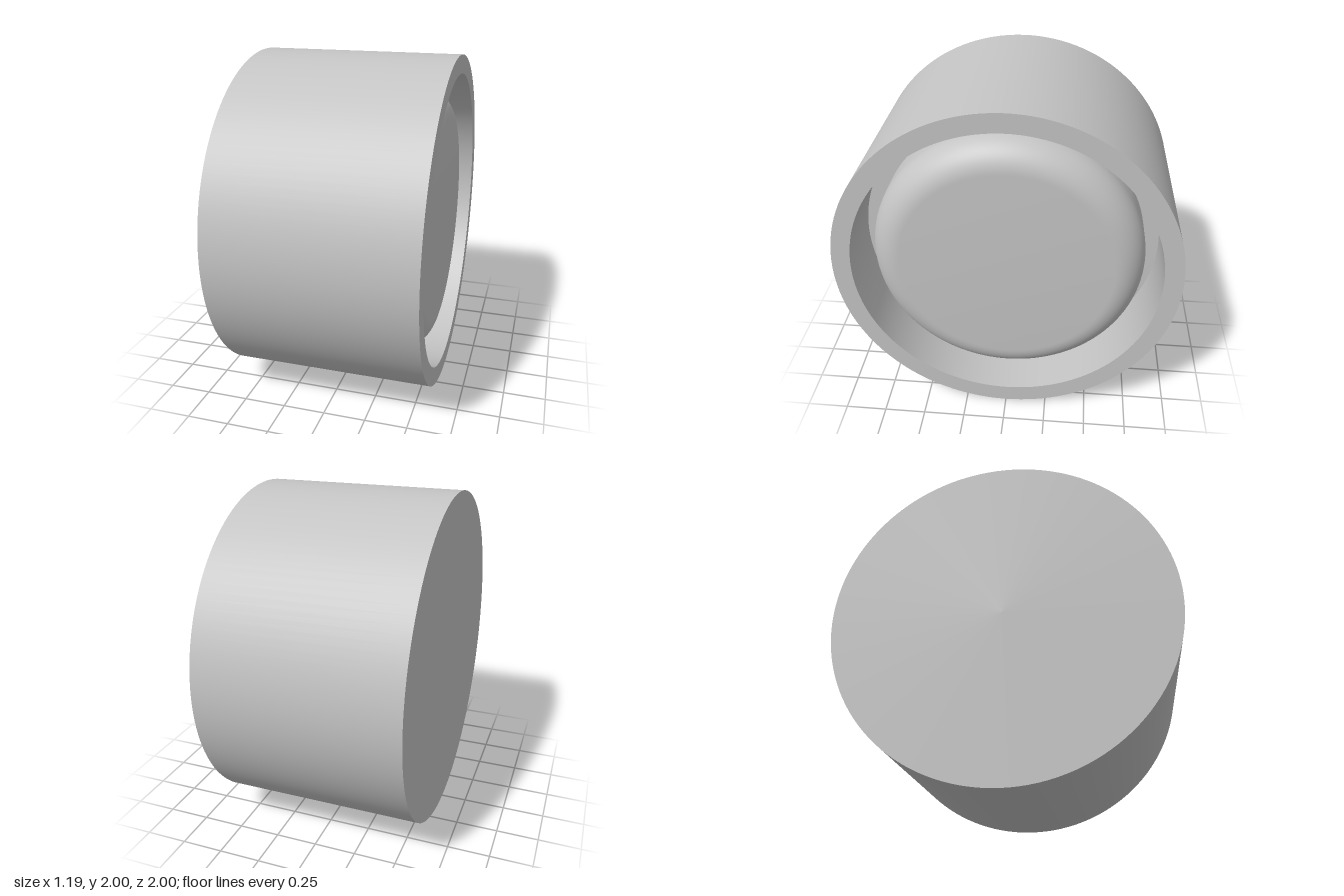
import * as THREE from 'three';
import { toCreasedNormals } from 'three/addons/utils/BufferGeometryUtils.js';

const SEGMENTS = 128;
const HALF = 0.595;      // half the body length along x
const FLOOR = 0.2;       // bottom of the ring groove
const KNOB_TOP = 0.54;   // flat face of the knob, just below the rim
const KNOB_R = 0.8;
const FILLET = 0.18;

const v = (r, x) => new THREE.Vector2(r, x);

// Revolve a (radius, x) profile about the x axis, keeping edges sharp
function turned(name, profile, material) {
  const geometry = new THREE.LatheGeometry(profile, SEGMENTS);
  geometry.rotateZ(-Math.PI / 2);
  const mesh = new THREE.Mesh(toCreasedNormals(geometry, 0.5), material);
  mesh.name = name;
  return mesh;
}

export function createModel() {
  const group = new THREE.Group();
  group.name = 'cylindricalCap';
  const grey = new THREE.MeshStandardMaterial({ color: 0xc4c4c4 });
  grey.name = 'light grey';

  // Solid body with a closed end, thin rim and groove floor
  const body = turned('body', [
    v(0, -HALF), v(1, -HALF), v(1, HALF), v(0.89, HALF), v(0.89, FLOOR), v(KNOB_R, FLOOR),
  ], grey);

  // Recessed round knob with a rounded shoulder
  const profile = [v(KNOB_R, FLOOR)];
  const steps = 16;
  for (let i = 0; i <= steps; i++) {
    const a = (i / steps) * Math.PI / 2;
    profile.push(v(KNOB_R - FILLET + FILLET * Math.cos(a), KNOB_TOP - FILLET + FILLET * Math.sin(a)));
  }
  profile.push(v(0, KNOB_TOP));
  const knob = turned('knob', profile, grey);

  const parts = new THREE.Group();
  parts.name = 'turnedParts';
  parts.add(body, knob);
  parts.position.y = 1;
  group.add(parts);
  return group;
}
